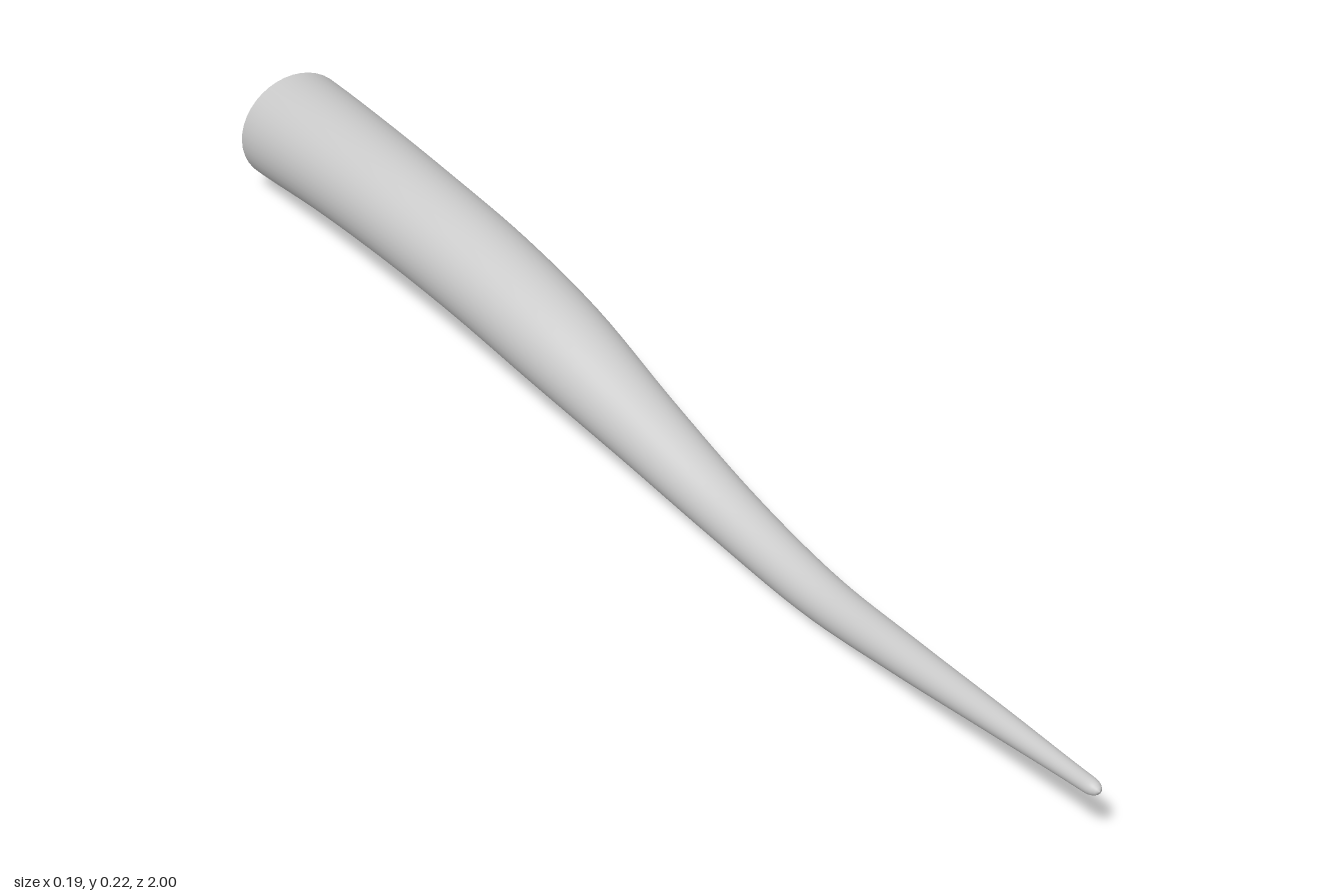
import * as THREE from 'three';

// Stations from the open root to the tip: x, y, z of the centre, radius
const STATIONS = [
  [0, 0.113, -1, 0.093], [-0.005, 0.136, -0.8, 0.087], [-0.006, 0.148, -0.6, 0.082],
  [0.002, 0.143, -0.4, 0.078], [0.012, 0.122, -0.2, 0.071], [0.024, 0.086, 0, 0.055],
  [0.037, 0.051, 0.2, 0.042], [0.04, 0.042, 0.4, 0.034], [0.037, 0.065, 0.6, 0.027],
  [0.037, 0.09, 0.8, 0.019], [0.038, 0.113, 1, 0.011],
];
const ROWS = 80, SIDES = 40;

function taperedTube() {
  const spine = new THREE.CatmullRomCurve3(
    STATIONS.map(([x, y, z]) => new THREE.Vector3(x, y, z)), false, 'catmullrom', 0.5);
  const radii = new THREE.SplineCurve(STATIONS.map(([, , z, r]) => new THREE.Vector2(z, r)));

  // A plane bent around the spine; its rows close in to a rounded tip
  const geometry = new THREE.CylinderGeometry(1, 1, 1, SIDES, ROWS, true);
  const position = geometry.attributes.position;
  for (let i = 0; i < position.count; i++) {
    const row = position.getY(i) + 0.5;
    const t = 1 - (1 - row) ** 1.5; // finer rows towards the tip
    const centre = spine.getPoint(t);
    const cap = THREE.MathUtils.clamp((centre.z - 0.98) / 0.02, 0, 1);
    const r = radii.getPoint(t).y * Math.sqrt(Math.max(0, 1 - cap * cap));
    const side = position.getX(i), up = position.getZ(i);
    // the root is cut with a slight backward lean
    const lean = 0.005 * (1 - up * -1) * (1 - row) ** 8;
    position.setXYZ(i, centre.x + side * r, centre.y - up * r, centre.z + 0.01 * (1 - row) ** 8 - lean);
  }
  geometry.computeVertexNormals();

  // share normals across the lengthwise seam
  const normal = geometry.attributes.normal;
  const n = new THREE.Vector3(), m = new THREE.Vector3();
  for (let row = 0; row <= ROWS; row++) {
    const a = row * (SIDES + 1), b = a + SIDES;
    n.fromBufferAttribute(normal, a).add(m.fromBufferAttribute(normal, b)).normalize();
    normal.setXYZ(a, n.x, n.y, n.z);
    normal.setXYZ(b, n.x, n.y, n.z);
  }
  return geometry;
}

export function createModel() {
  const group = new THREE.Group();
  const material = new THREE.MeshStandardMaterial({ color: 0xcccccc, side: THREE.DoubleSide });
  const tail = new THREE.Mesh(taperedTube(), material);
  tail.name = 'tail';
  group.add(tail);
  return group;
}
